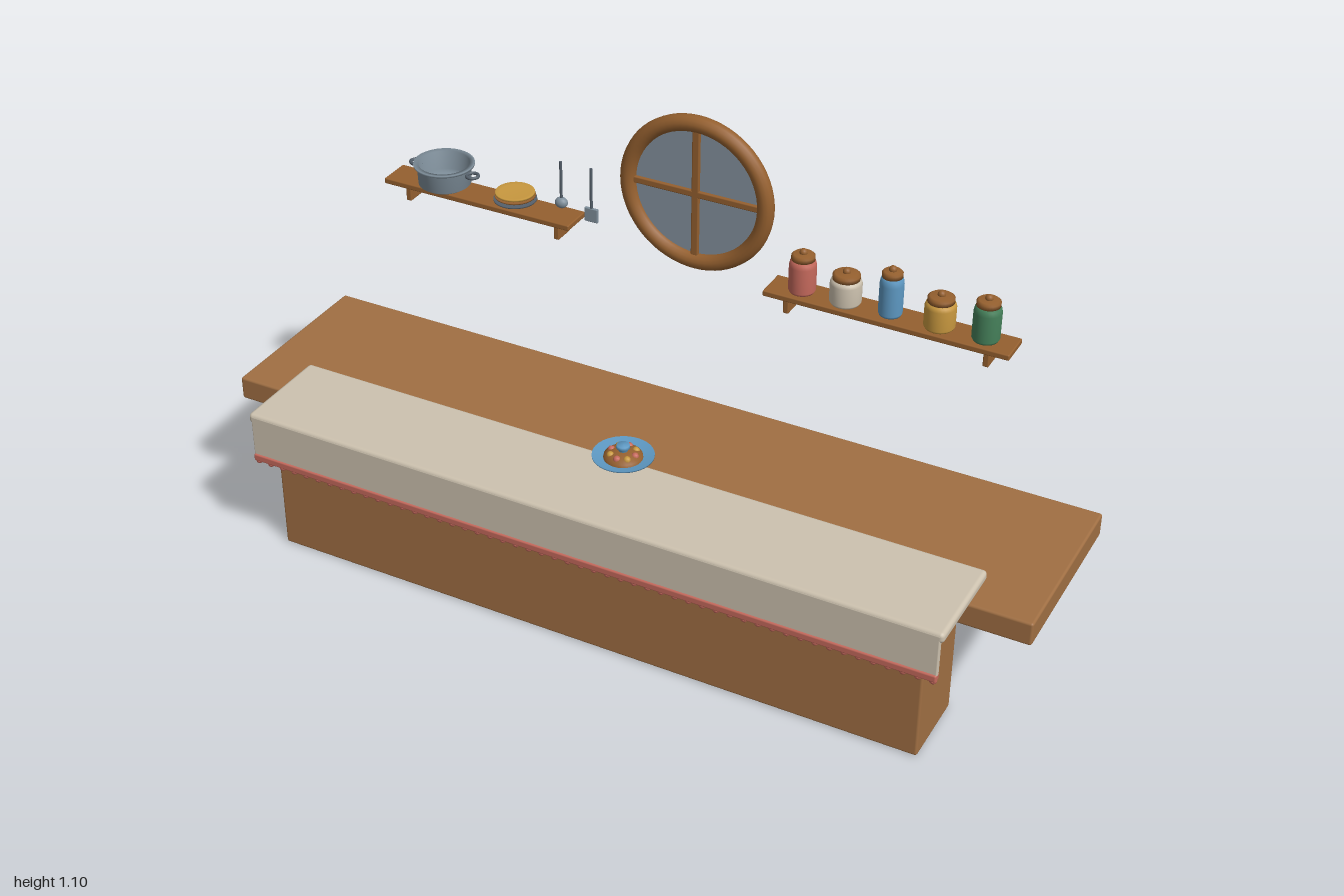
import * as THREE from 'three';
import { RoundedBoxGeometry } from 'three/addons/geometries/RoundedBoxGeometry.js';

const mat = (name, color, side = THREE.FrontSide) => {
  const m = new THREE.MeshStandardMaterial({ color, side });
  m.name = name;
  return m;
};

export function createModel() {
  const wood = mat('wood', 0xa06f43);
  const darkWood = mat('dark wood', 0x95602f);
  const cream = mat('cream', 0xcdc2af);
  const pink = mat('coral', 0xc5695c);
  const glass = mat('glass', 0x85939f);
  const steel = mat('steel', 0x7f8f9b, THREE.DoubleSide);
  const iron = mat('iron', 0x55606b);
  const green = mat('green', 0x45805a);
  const blue = mat('blue', 0x5d98c2, THREE.DoubleSide);
  const yellow = mat('yellow', 0xc8983f);

  const root = new THREE.Group();
  root.name = 'kitchenCounter';

  const group = (name, x, y, z) => {
    const g = new THREE.Group();
    g.name = name;
    g.position.set(x, y, z);
    root.add(g);
    return g;
  };
  const add = (parent, name, geo, material, x = 0, y = 0, z = 0) => {
    const m = new THREE.Mesh(geo, material);
    m.name = name;
    m.position.set(x, y, z);
    parent.add(m);
    return m;
  };
  // Box given by its minimum and maximum corners
  const box = (parent, name, material, [x0, y0, z0], [x1, y1, z1], r = 0.003) =>
    add(parent, name, new RoundedBoxGeometry(x1 - x0, y1 - y0, z1 - z0, 2, r), material,
      (x0 + x1) / 2, (y0 + y1) / 2, (z0 + z1) / 2);
  // Surface of revolution from [radius, height] pairs, bottom to top
  const lathe = (pts, seg = 28) => new THREE.LatheGeometry(pts.map(p => new THREE.Vector2(...p)), seg);

  // Counter
  box(root, 'counterBase', wood, [-0.818, 0, 0.073], [0.812, 0.348, 0.262], 0.006);
  box(root, 'counterTop', wood, [-1, 0.29, -0.295], [1, 0.348, 0.147], 0.006);

  // Cloth with a hanging front and beaded trim
  box(root, 'clothTop', cream, [-0.865, 0.35, 0.05], [0.862, 0.376, 0.3], 0.01);
  box(root, 'clothFront', cream, [-0.857, 0.262, 0.287], [0.854, 0.37, 0.3], 0.003);
  box(root, 'clothTrim', pink, [-0.857, 0.25, 0.284], [0.854, 0.268, 0.304], 0.004);
  const bead = new THREE.SphereGeometry(0.009, 10, 6);
  const beads = 52;
  for (let i = 0; i < beads; i++) {
    add(root, 'trimBead', bead, pink, -0.848 + (1.693 * i) / (beads - 1), 0.249, 0.294);
  }

  // Footed dish with a small filled bowl
  const dish = group('dish', -0.004, 0.35, 0.063);
  add(dish, 'foot', lathe([[0, 0], [0.04, 0], [0.037, 0.012], [0.028, 0.028]]), steel);
  add(dish, 'plate', lathe([[0, 0.026], [0.03, 0.026], [0.045, 0.034], [0.071, 0.045],
    [0.071, 0.048], [0.05, 0.041], [0, 0.036]], 36), blue);
  add(dish, 'filling', lathe([[0.046, 0.036], [0.044, 0.047], [0.034, 0.054], [0.016, 0.058], [0, 0.059]]), darkWood);
  const morsel = new THREE.SphereGeometry(0.009, 10, 8);
  for (let i = 0; i < 8; i++) {
    const a = (i * Math.PI) / 4;
    add(dish, 'morsel', morsel, i % 2 ? yellow : pink, Math.cos(a) * 0.03, 0.051, Math.sin(a) * 0.03);
  }
  add(dish, 'knob', lathe([[0.011, 0.055], [0.011, 0.062], [0.016, 0.066], [0.015, 0.073], [0, 0.074]], 16), blue);

  // Round window
  const win = group('roundWindow', 0.005, 0.905, -0.267);
  add(win, 'windowFrame', new THREE.TorusGeometry(0.171, 0.0195, 14, 64), darkWood);
  add(win, 'windowPane', new THREE.CylinderGeometry(0.165, 0.165, 0.008, 48).rotateX(Math.PI / 2), glass, 0, 0, -0.003);
  box(win, 'verticalBar', darkWood, [-0.009, -0.163, -0.009], [0.009, 0.163, 0.009]);
  box(win, 'horizontalBar', darkWood, [-0.163, -0.008, -0.009], [0.163, 0.008, 0.009]);

  // Wall shelves on brackets
  const shelf = (name, x0, x1, top, brackets) => {
    const g = group(name, 0, 0, 0);
    box(g, 'board', darkWood, [x0, top - 0.014, -0.272], [x1, top, -0.192]);
    for (const x of brackets) {
      box(g, 'bracket', darkWood, [x - 0.007, top - 0.06, -0.272], [x + 0.007, top - 0.013, -0.217]);
    }
  };
  shelf('leftShelf', -0.782, -0.283, 0.782, [-0.733, -0.33]);
  shelf('rightShelf', 0.208, 0.784, 0.749, [0.254, 0.725]);

  // Spice jars: x, radius, body height, colour
  const jars = [
    [0.285, 0.031, 0.082, pink], [0.389, 0.036, 0.062, cream], [0.495, 0.027, 0.096, blue],
    [0.609, 0.035, 0.066, yellow], [0.715, 0.031, 0.086, green],
  ];
  for (const [x, r, h, colour] of jars) {
    const jar = group('jar', x, 0.749, -0.233);
    add(jar, 'jarBody', lathe([[0, 0], [r * 0.9, 0], [r, 0.006], [r, h * 0.8], [r * 0.93, h * 0.92],
      [r * 0.75, h], [0, h]]), colour);
    add(jar, 'jarLid', lathe([[0, h - 0.002], [r * 0.86, h - 0.002], [r * 0.86, h + 0.008],
      [r * 0.7, h + 0.012], [0, h + 0.013]]), darkWood);
    add(jar, 'jarKnob', new THREE.SphereGeometry(0.009, 14, 10), darkWood, 0, h + 0.015, 0);
  }

  // Cooking pot, open at the top
  const pot = group('pot', -0.638, 0.782, -0.232);
  add(pot, 'potBody', lathe([[0, 0], [0.05, 0], [0.062, 0.008], [0.064, 0.05], [0.072, 0.054],
    [0.072, 0.059], [0.06, 0.058], [0.058, 0.012], [0.048, 0.005], [0, 0.005]], 40), steel);
  for (const s of [-1, 1]) {
    add(pot, 'potHandle', new THREE.TorusGeometry(0.014, 0.004, 8, 20).rotateX(Math.PI / 2), iron, s * 0.077, 0.042, 0);
  }

  // Stack of plates
  const stack = group('plateStack', -0.446, 0.782, -0.232);
  add(stack, 'lowerPlate', lathe([[0, 0], [0.03, 0], [0.051, 0.011], [0.051, 0.014], [0, 0.014]]), iron);
  add(stack, 'middlePlate', lathe([[0, 0.012], [0.034, 0.012], [0.048, 0.02], [0.048, 0.023], [0, 0.023]]), darkWood);
  add(stack, 'upperPlate', lathe([[0, 0.02], [0.034, 0.02], [0.047, 0.027], [0.046, 0.031], [0.036, 0.029], [0, 0.029]]), yellow);

  // Hanging utensils
  const ladle = group('ladle', -0.342, 0, -0.265);
  add(ladle, 'handle', new THREE.CylinderGeometry(0.0035, 0.0035, 0.11, 10), iron, 0, 0.845, 0);
  add(ladle, 'ladleBowl', new THREE.SphereGeometry(0.016, 18, 12).scale(1, 0.85, 0.8), steel, 0, 0.794, 0);
  const spatula = group('spatula', -0.264, 0, -0.267);
  add(spatula, 'handle', new THREE.CylinderGeometry(0.0035, 0.0035, 0.11, 10), iron, 0, 0.845, 0);
  box(spatula, 'blade', steel, [-0.017, 0.763, -0.004], [0.017, 0.798, 0.004], 0.002);

  return root;
}
